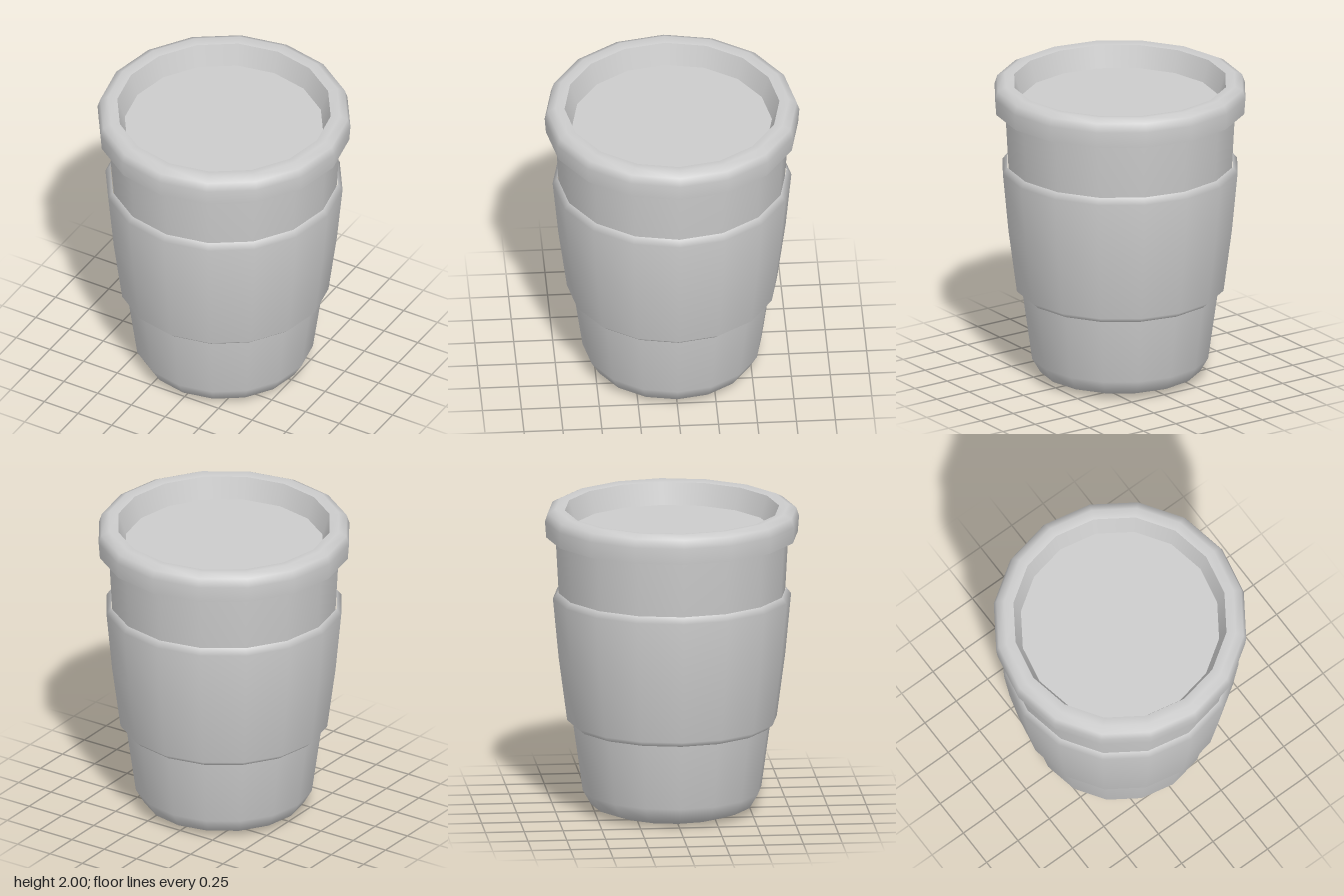
import * as THREE from 'three';

const SIDES = 16;

export function createModel() {
  const model = new THREE.Group();
  model.name = 'lidded cup';
  const grey = new THREE.MeshStandardMaterial({ color: 0xcccccc });
  grey.name = 'light grey';

  // Each smooth band is its own lathe, so edges between bands stay sharp.
  // Profiles are [radius, height]; going upward on the outside faces outward.
  const band = (name, profile) => {
    const points = profile.map(([r, y]) => new THREE.Vector2(r, y));
    const mesh = new THREE.Mesh(new THREE.LatheGeometry(points, SIDES), grey);
    mesh.name = name;
    model.add(mesh);
  };

  // Cup body with a rounded foot
  band('base', [[0, 0], [0.41, 0.005]]);
  band('cupBody', [[0.41, 0.005], [0.52, 0.045], [0.575, 0.14], [0.635, 0.57], [0.73, 1.45], [0.75, 1.82]]);

  // Grip sleeve with bevelled ends
  band('sleeve', [[0.635, 0.57], [0.675, 0.605], [0.73, 1.02], [0.767, 1.41], [0.735, 1.45]]);

  // Lid: underside lip, rounded rim, recessed wall and floor
  band('lidUnderside', [[0.72, 1.815], [0.81, 1.815]]);
  band('lidRim', [[0.81, 1.815], [0.818, 1.92], [0.8, 1.975], [0.75, 2], [0.69, 1.99]]);
  band('lidInnerWall', [[0.69, 1.99], [0.642, 1.85]]);
  band('lidFloor', [[0.642, 1.85], [0, 1.85]]);

  return model;
}
